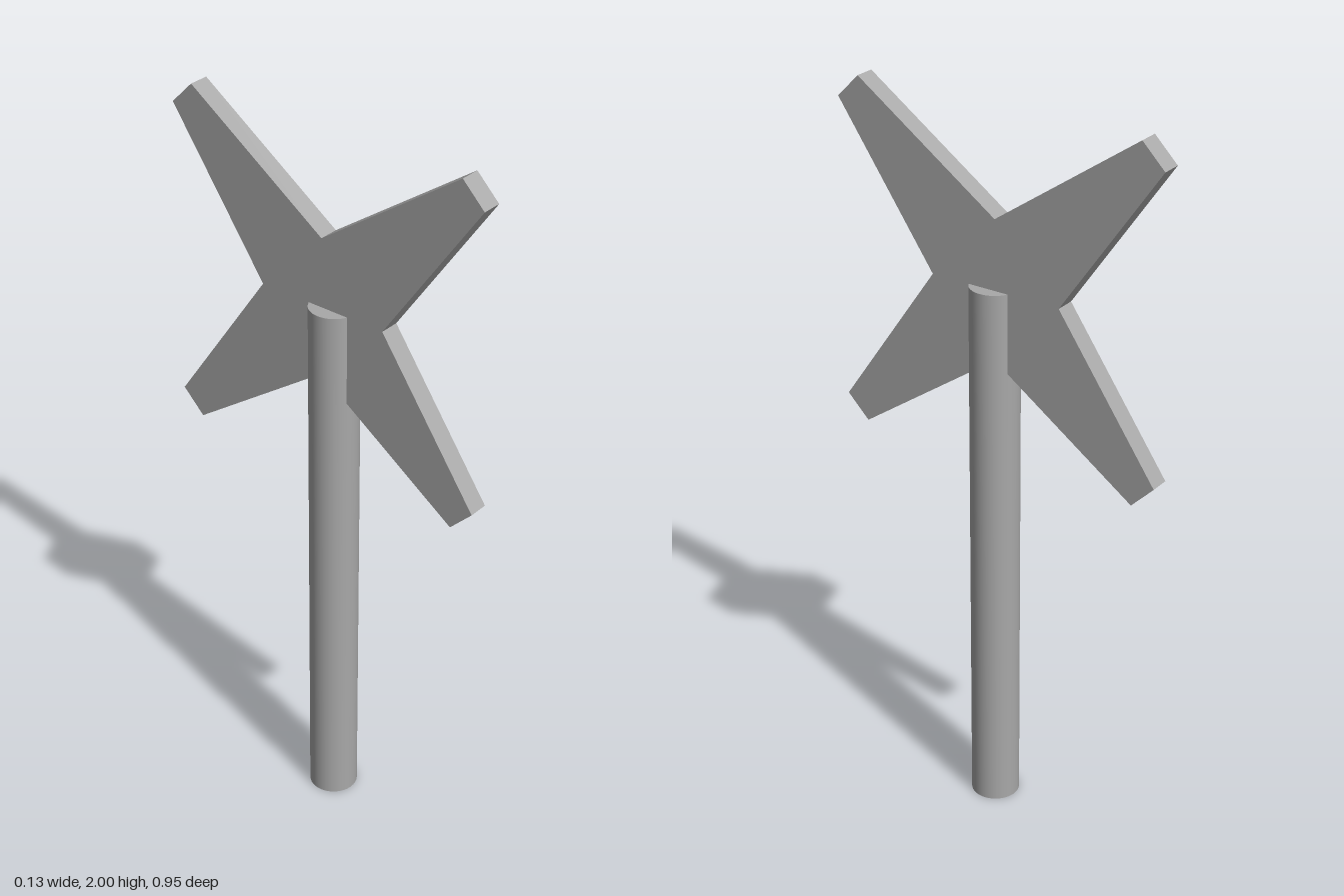
import * as THREE from 'three';

export function createModel() {
  const group = new THREE.Group();
  const grey = new THREE.MeshStandardMaterial({ color: 0xa8a8a8 });
  grey.name = 'grey';

  const hubY = 1.524;

  // Upright post, slightly off the blade centre
  const post = new THREE.Mesh(new THREE.CylinderGeometry(0.066, 0.066, hubY, 48), grey);
  post.name = 'post';
  post.position.set(-0.002, hubY / 2, 0.02);
  group.add(post);

  // Four-armed rotor outline: blunt tip corners and a valley, repeated each quarter turn
  const arm = [[0.19, 0], [0.476, 0.412], [0.412, 0.476]];
  const outline = [];
  for (let i = 0; i < 4; i++) {
    for (const [x, y] of arm) {
      outline.push(new THREE.Vector2(x, y).rotateAround(new THREE.Vector2(), i * Math.PI / 2));
    }
  }
  const depth = 0.055;
  const blades = new THREE.ExtrudeGeometry(new THREE.Shape(outline), { depth, bevelEnabled: false });
  blades.translate(0, 0, -depth / 2);
  blades.rotateY(Math.PI / 2);
  const rotor = new THREE.Mesh(blades, grey);
  rotor.name = 'rotor';
  rotor.position.y = hubY;
  group.add(rotor);

  return group;
}
